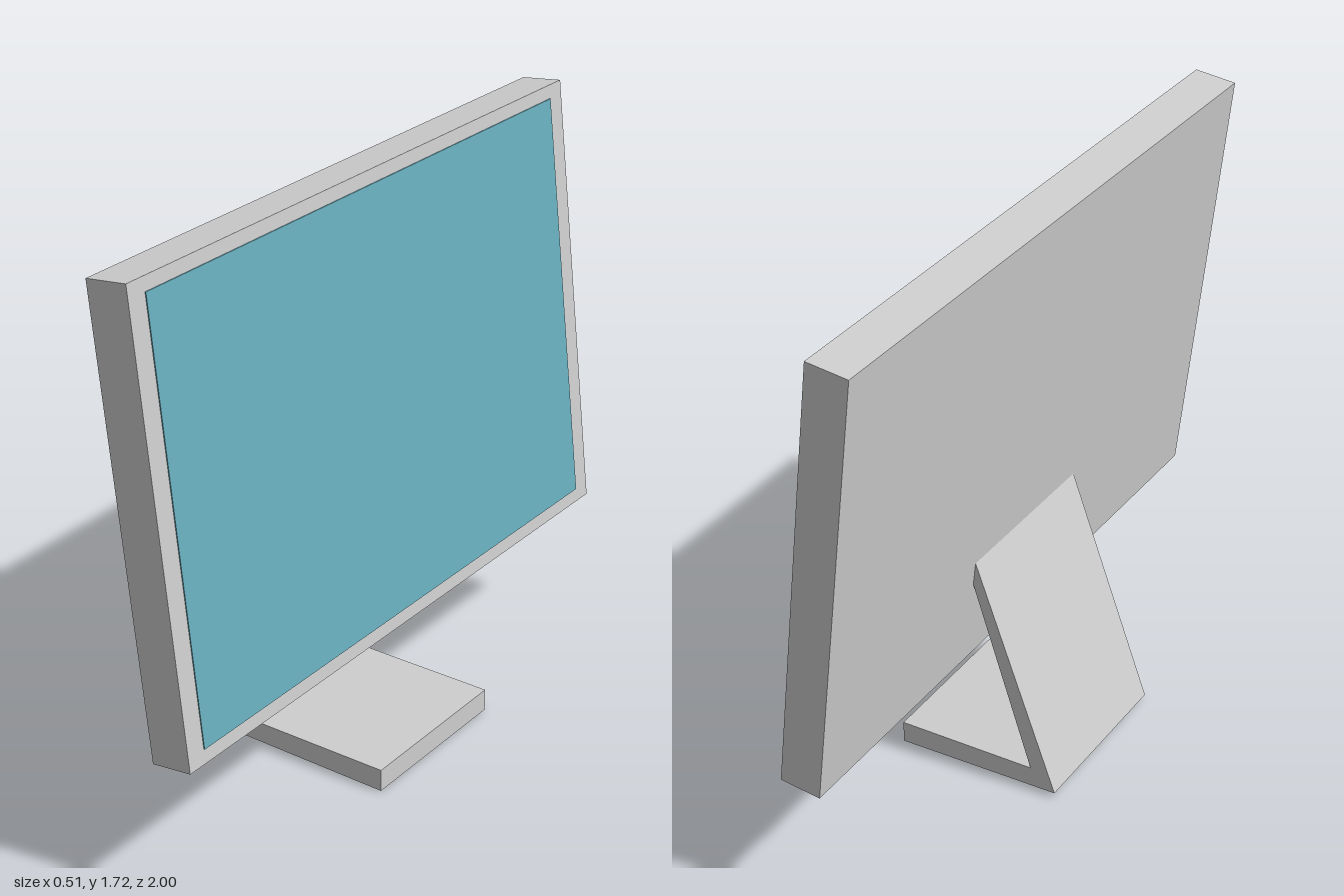
import * as THREE from 'three';

export function createModel() {
  const group = new THREE.Group();
  group.name = 'monitor';

  const casing = new THREE.MeshStandardMaterial({ color: 0xcecece });
  casing.name = 'light grey casing';
  const glass = new THREE.MeshStandardMaterial({ color: 0x69afbf });
  glass.name = 'blue screen';

  // Extrude a side profile (x, y) across the width (z)
  function addProfile(name, points, zMin, zMax, material) {
    const shape = new THREE.Shape(points.map(([x, y]) => new THREE.Vector2(x, y)));
    const geometry = new THREE.ExtrudeGeometry(shape, { depth: zMax - zMin, bevelEnabled: false });
    geometry.translate(0, 0, zMin);
    const mesh = new THREE.Mesh(geometry, material);
    mesh.name = name;
    group.add(mesh);
  }

  // Tilted panel, facing +x
  const bottom = [0.16, 0.398], top = [0.012, 1.72];
  addProfile('panel', [[0.036, 0.385], bottom, top, [-0.115, 1.706]], -1, 1, casing);

  // Screen: thin plate lying on the panel's front face
  const onFace = (y, out) => {
    const t = (y - bottom[1]) / (top[1] - bottom[1]);
    return [bottom[0] + (top[0] - bottom[0]) * t + out, y];
  };
  addProfile('screen', [onFace(0.44, -0.002), onFace(0.44, 0.003), onFace(1.68, 0.003), onFace(1.68, -0.002)],
    -0.936, 0.936, glass);

  // Bent stand: flat foot and leaning back support
  addProfile('stand', [
    [-0.26, 0.015], [0.255, 0], [0.255, 0.068], [-0.18, 0.075], [0.006, 0.65], [-0.002, 0.725],
  ], -0.272, 0.272, casing);

  return group;
}
